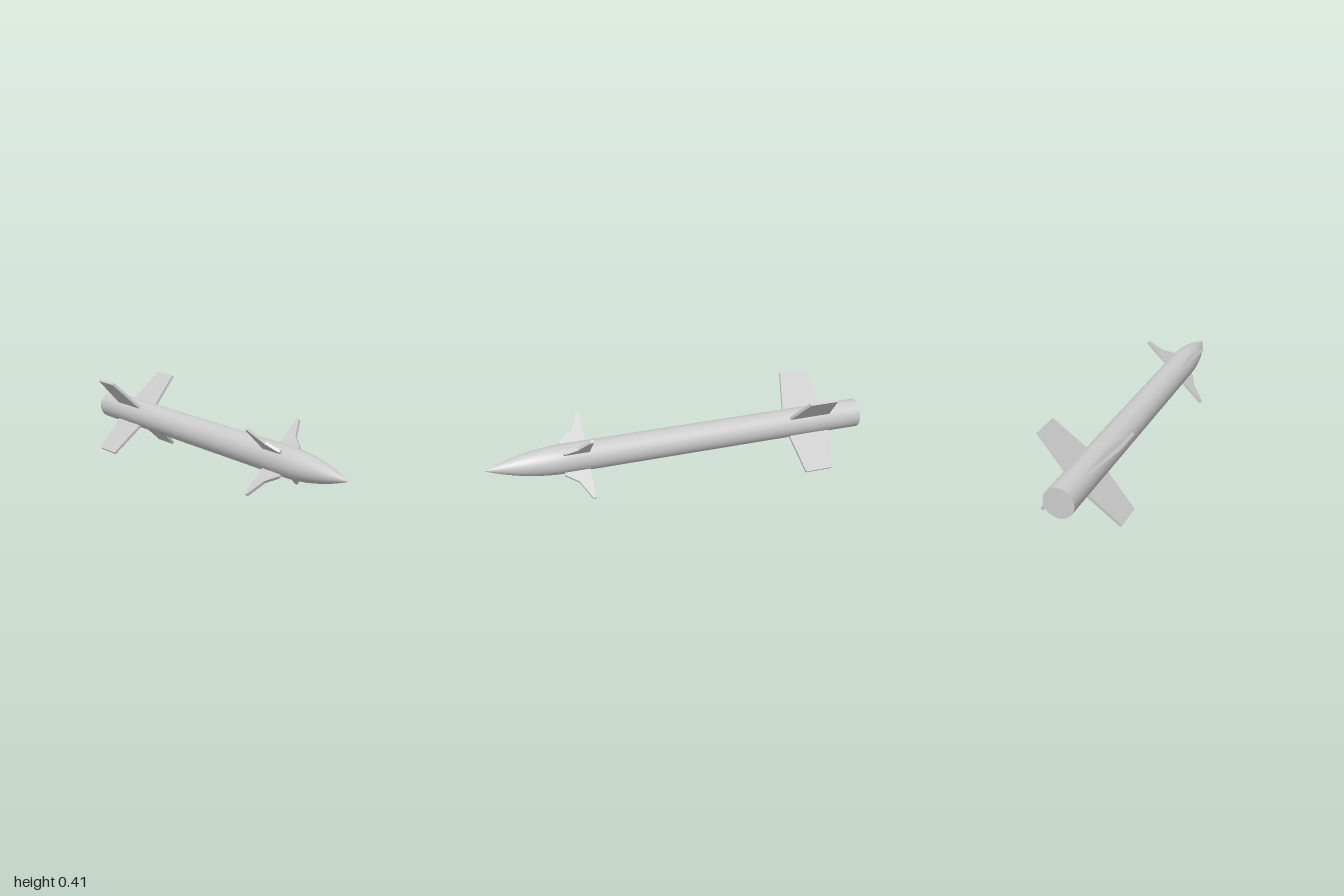
import * as THREE from 'three';

const material = new THREE.MeshStandardMaterial({ color: 0xcccccc });
const AXIS_Y = 0.205;
const RADIUS = 0.075;
const FIN_THICKNESS = 0.015;

function addMesh(parent, name, geometry) {
  const mesh = new THREE.Mesh(geometry, material);
  mesh.name = name;
  parent.add(mesh);
  return mesh;
}

// Surface of revolution around the z axis; profile is [radius, z], rear to front
function revolve(profile) {
  const points = profile.map(([r, z]) => new THREE.Vector2(r, z));
  return new THREE.LatheGeometry(points, 48).rotateX(Math.PI / 2);
}

// Flat plate lying in the x-z plane; outline is [distance from axis, z]
function finGeometry(outline) {
  const shape = new THREE.Shape(outline.map(([r, z]) => new THREE.Vector2(r, z)));
  return new THREE.ExtrudeGeometry(shape, { depth: FIN_THICKNESS, bevelEnabled: false })
    .translate(0, 0, -FIN_THICKNESS / 2)
    .rotateX(Math.PI / 2);
}

// Four fins in an X arrangement around the body
function addFins(parent, groupName, finName, outline) {
  const group = new THREE.Group();
  group.name = groupName;
  const geometry = finGeometry(outline);
  for (let i = 0; i < 4; i++) {
    addMesh(group, `${finName}${i + 1}`, geometry).rotation.z = Math.PI / 4 + i * Math.PI / 2;
  }
  parent.add(group);
}

export function createModel() {
  const model = new THREE.Group();
  model.name = 'missile';
  const airframe = new THREE.Group();
  airframe.name = 'airframe';
  airframe.position.y = AXIS_Y;
  model.add(airframe);

  // Straight tube with a flat rear end
  addMesh(airframe, 'body', revolve([[RADIUS, -1], [RADIUS, 0.6]]));
  const cap = addMesh(airframe, 'rearCap', new THREE.CircleGeometry(RADIUS, 48).rotateY(Math.PI));
  cap.position.z = -1;

  // Pointed, curved nose
  const nose = [];
  for (let i = 0; i <= 16; i++) {
    const t = i / 16;
    nose.push([RADIUS * (1 - t * t), 0.6 + 0.4 * t]);
  }
  addMesh(airframe, 'nose', revolve(nose));

  // Small swept fins behind the nose
  addFins(airframe, 'frontFins', 'frontFin', [
    [0.05, 0.485], [0.225, 0.485], [0.225, 0.5], [0.133, 0.55], [0.088, 0.615], [0.05, 0.615],
  ]);

  // Large tapered fins near the rear end
  addFins(airframe, 'rearFins', 'rearFin', [
    [0.05, -0.825], [0.281, -0.785], [0.281, -0.637], [0.05, -0.592],
  ]);

  return model;
}
